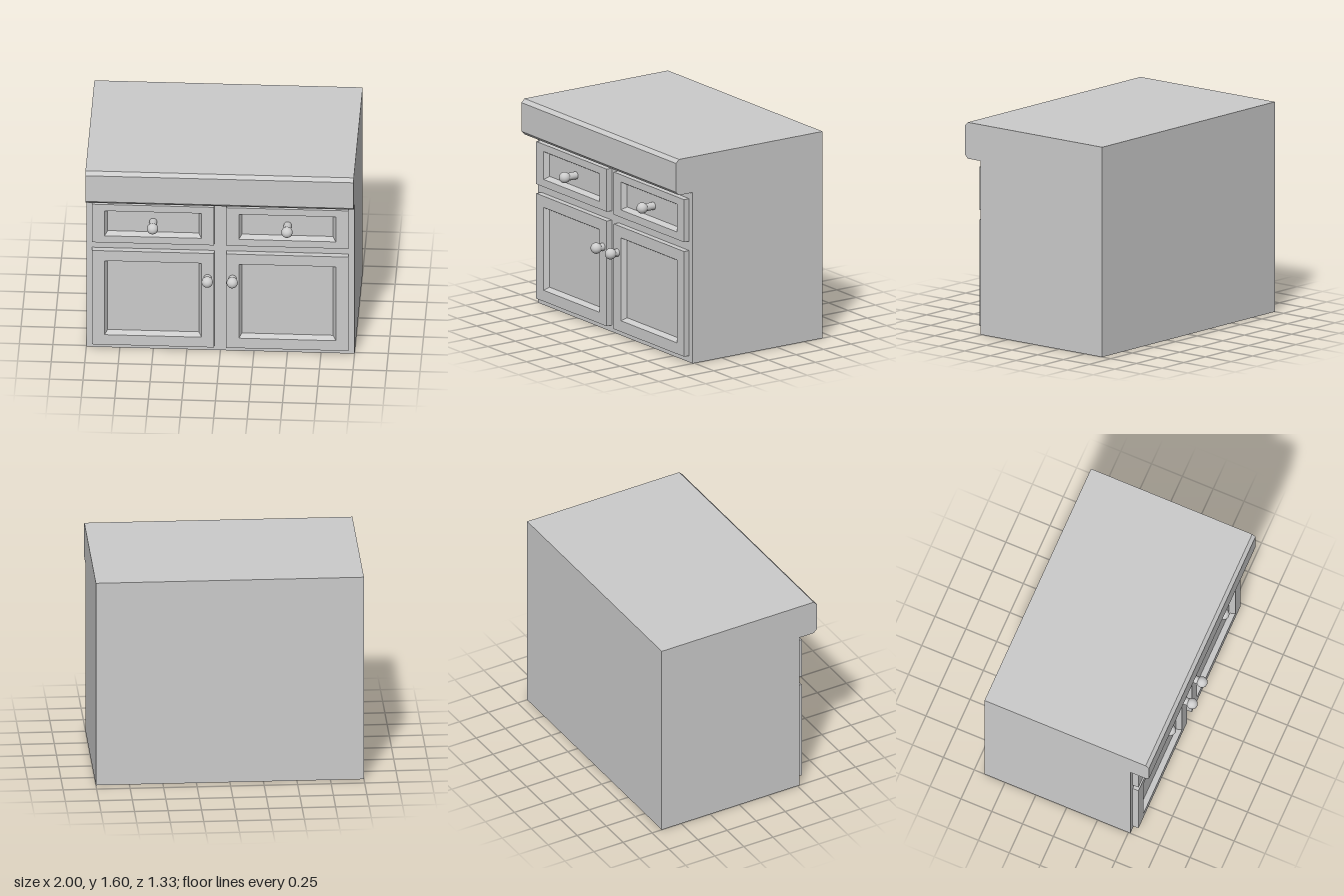
import * as THREE from 'three';

const material = new THREE.MeshStandardMaterial({ color: 0xcccccc });
const shellMaterial = new THREE.MeshStandardMaterial({ color: 0xcccccc, side: THREE.DoubleSide });

const BODY_Z = 0.516;   // front of the carcass
const FACE_Z = 0.563;   // front of the doors and drawers
const PANEL_Z = 0.522;  // sunken centre panels

function flatGeometry(positions) {
  const geometry = new THREE.BufferGeometry();
  geometry.setAttribute('position', new THREE.Float32BufferAttribute(positions, 3));
  geometry.computeVertexNormals();
  return geometry;
}

// Side profile swept across the width, open underneath
function cabinetShell() {
  const profile = [
    [-0.667, 0], [BODY_Z, 0], [BODY_Z, 1.325], [0.64, 1.325], [0.667, 1.352],
    [0.667, 1.575], [0.64, 1.602], [-0.667, 1.602],
  ].map(([z, y]) => new THREE.Vector2(z, y));
  const solid = new THREE.ExtrudeGeometry(new THREE.Shape(profile), { depth: 2, bevelEnabled: false });
  solid.rotateY(-Math.PI / 2).translate(1, 0, 0);
  const p = solid.getAttribute('position');
  const kept = [];
  for (let i = 0; i < p.count; i += 3) {
    const onFloor = [0, 1, 2].every((k) => p.getY(i + k) < 0.001);
    if (!onFloor) kept.push(...p.array.slice(i * 3, i * 3 + 9));
  }
  return flatGeometry(kept);
}

// Raised slab with a bevelled recess, built from nested rectangles
function panelFront(x0, x1, y0, y1, r0, r1) {
  const ring = (a, b, c, d, z) => [[a, c, z], [b, c, z], [b, d, z], [a, d, z]];
  const bevel = 0.022;
  const ix0 = x0 + 0.094, ix1 = x1 - 0.094;
  const rings = [
    ring(x0, x1, y0, y1, BODY_Z),
    ring(x0, x1, y0, y1, FACE_Z),
    ring(ix0, ix1, r0, r1, FACE_Z),
    ring(ix0 + bevel, ix1 - bevel, r0 + bevel, r1 - bevel, PANEL_Z),
  ];
  const positions = [];
  const quad = (a, b, c, d) => positions.push(...a, ...b, ...c, ...a, ...c, ...d);
  for (let k = 0; k < 3; k++) {
    for (let i = 0; i < 4; i++) {
      const j = (i + 1) % 4;
      quad(rings[k][i], rings[k][j], rings[k + 1][j], rings[k + 1][i]);
    }
  }
  quad(...rings[3]);
  return flatGeometry(positions);
}

// Round knob on a short stem
function makeKnob(name, x, y, baseZ) {
  const knob = new THREE.Group();
  knob.name = name;
  const length = 0.61 - baseZ;
  const stem = new THREE.Mesh(new THREE.CylinderGeometry(0.029, 0.029, length, 32, 1, true), material);
  stem.name = 'knobStem';
  stem.rotation.x = Math.PI / 2;
  stem.position.z = baseZ + length / 2;
  const ball = new THREE.Mesh(new THREE.SphereGeometry(0.042, 32, 20), material);
  ball.name = 'knobBall';
  ball.position.z = 0.625;
  knob.add(stem, ball);
  knob.position.set(x, y, 0);
  return knob;
}

export function createModel() {
  const cabinet = new THREE.Group();
  cabinet.name = 'cabinet';

  const shell = new THREE.Mesh(cabinetShell(), shellMaterial);
  shell.name = 'carcassAndWorktop';
  cabinet.add(shell);

  // One drawer above one door on each side
  for (const [side, s] of [['left', 1], ['right', -1]]) {
    const x0 = s > 0 ? 0.045 : -0.956;
    const x1 = x0 + 0.911;
    const drawer = new THREE.Mesh(panelFront(x0, x1, 0.937, 1.267, 0.995, 1.211), material);
    drawer.name = side + 'Drawer';
    const door = new THREE.Mesh(panelFront(x0, x1, 0.05, 0.865, 0.136, 0.778), material);
    door.name = side + 'Door';
    cabinet.add(
      drawer, door,
      makeKnob(side + 'DrawerKnob', s * 0.501, 1.105, PANEL_Z),
      makeKnob(side + 'DoorKnob', s * 0.093, 0.654, FACE_Z),
    );
  }
  return cabinet;
}
